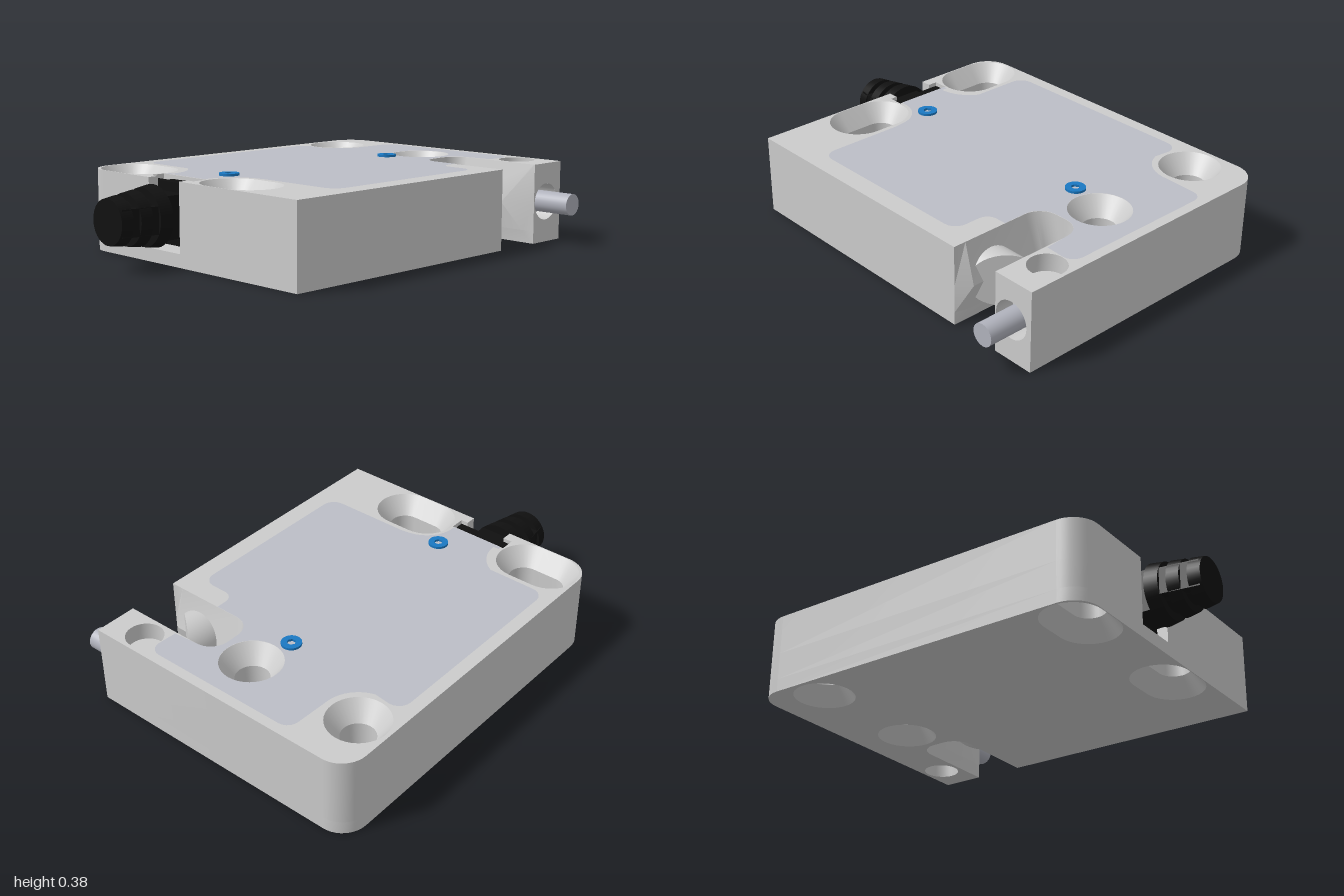
import * as THREE from 'three';
import { toCreasedNormals } from 'three/addons/utils/BufferGeometryUtils.js';

const H = 0.37, MID = H / 2, FLOOR = 0.06;
const PI = Math.PI;
const mat = (color) => new THREE.MeshStandardMaterial({ color, side: THREE.DoubleSide });
const grey = mat(0xcccccc), plateGrey = mat(0xbcbec6), steel = mat(0xb0b2bc);
const blue = mat(0x1a78c2), black = mat(0x101010);

function add(parent, name, geo, material, x = 0, y = 0, z = 0) {
  const m = new THREE.Mesh(geo, material);
  m.name = name;
  m.position.set(x, y, z);
  parent.add(m);
  return m;
}

// Points [x, z] along an arc, angles in degrees
function arc(cx, cz, r, a0, a1, n = 10) {
  return Array.from({ length: n + 1 }, (_, i) => {
    const a = (a0 + (a1 - a0) * i / n) * PI / 180;
    return [cx + r * Math.cos(a), cz + r * Math.sin(a)];
  });
}

// Round or elongated hole outline
const stadium = (cx, cz, half, r) => [
  ...arc(cx + half, cz, r, -90, 90, 18),
  ...arc(cx - half, cz, r, 90, 270, 18),
];

// Flat horizontal face from [x, z] points
const vecs = (pts) => pts.map(([x, z]) => new THREE.Vector2(x, -z));
function flat(pts, holes = []) {
  const s = new THREE.Shape(vecs(pts));
  s.holes = holes.map((h) => new THREE.Path(vecs(h)));
  return new THREE.ShapeGeometry(s).rotateX(-PI / 2);
}

// Wall through rings of equal point count at the given heights
function loft(rings, closed) {
  const n = rings[0].pts.length, pos = [], idx = [];
  rings.forEach(({ y, pts }) => pts.forEach(([x, z]) => pos.push(x, y, z)));
  for (let j = 0; j < rings.length - 1; j++) {
    for (let i = 0; i < (closed ? n : n - 1); i++) {
      const a = j * n + i, b = j * n + (i + 1) % n;
      idx.push(a, a + n, b, b, a + n, b + n);
    }
  }
  const g = new THREE.BufferGeometry();
  g.setAttribute('position', new THREE.Float32BufferAttribute(pos, 3));
  g.setIndex(idx);
  return toCreasedNormals(g, 0.4);
}

// Body outline at height y; the side slot narrows towards mid height
function outline(y, notch) {
  const t = 1 - Math.abs(y - MID) / MID;
  const a = -0.8 + 0.04 * t, b = -0.56 - 0.05 * t, r = 0.09 - 0.02 * t;
  const cableNotch = [
    [-0.105, 0.72], [-0.105, 0.67], [-0.07, 0.67], [-0.07, 0.6],
    [-0.355, 0.6], [-0.355, 0.67], [-0.31, 0.67], [-0.31, 0.72],
  ];
  return [
    [0.61, -0.8], [0.6 - 0.15 * t, a],
    ...arc(0.13 + r, a + r, r, 270, 180),
    ...arc(0.13 + r, b - r, r, 180, 90),
    [0.55, b], [0.61, -0.56], [0.61, 0.72],
    ...(notch ? cableNotch : []),
    ...arc(-0.64, 0.6, 0.12, 90, 180),
    ...arc(-0.64, -0.88, 0.12, 180, 270),
    [0.61, -1],
  ];
}

function buildBody(parent) {
  const body = new THREE.Group();
  body.name = 'housing';
  parent.add(body);
  // cx, cz, half length, outer radius, inner radius
  const mounts = [
    [-0.605, -0.74, 0, 0.137, 0.075], [-0.035, -0.74, 0, 0.137, 0.075],
    [-0.557, 0.58, 0.06, 0.136, 0.073], [0.133, 0.58, 0.061, 0.136, 0.073],
  ];
  const pocket = stadium(0.43, -0.9, 0, 0.083);
  const holes = [...mounts.map(([x, z, h, R]) => stadium(x, z, h, R)), pocket];
  add(body, 'topFace', flat(outline(H, true), holes), grey, 0, H);
  add(body, 'bottomFace', flat(outline(0, false), holes), grey);
  const ring = (y, notch) => ({ y, pts: outline(y, notch) });
  add(body, 'lowerWall', loft([ring(0), ring(FLOOR)], false), grey);
  add(body, 'upperWall', loft([ring(FLOOR, true), ring(MID, true), ring(H, true)], false), grey);
  add(body, 'notchFloor', flat([[-0.355, 0.6], [-0.07, 0.6], [-0.07, 0.72], [-0.355, 0.72]]), grey, 0, FLOOR - 0.001);

  // Mounting holes, countersunk on both sides
  mounts.forEach(([x, z, h, R, r]) => {
    const levels = [[0, R], [0.085, r], [H - 0.085, r], [H, R]];
    add(body, 'mountingHole', loft(levels.map(([y, k]) => ({ y, pts: stadium(x, z, h, k) })), true), grey);
  });

  // Blind pockets in the top and bottom of the arm
  for (const [y0, y1] of [[H, H - 0.08], [0, 0.08]]) {
    add(body, 'armPocket', loft([{ y: y0, pts: pocket }, { y: y1, pts: pocket }], true), grey);
    add(body, 'armPocketFloor', flat(pocket), grey, 0, y1);
  }

  // Arm end face with the bore for the pin
  const end = new THREE.Shape(vecs([[0.8, 0], [1, 0], [1, -H], [0.8, -H]]));
  end.holes.push(new THREE.Path().absarc(0.89, 0.19, 0.085, 0, 2 * PI, true));
  add(body, 'armEnd', new THREE.ShapeGeometry(end, 20).rotateY(PI / 2), grey, 0.61);
  add(body, 'bore', new THREE.CylinderGeometry(0.085, 0.085, 0.09, 36, 1, true).rotateZ(PI / 2), grey, 0.565, 0.19, -0.89);
  add(body, 'boreFloor', new THREE.CircleGeometry(0.085, 36).rotateY(PI / 2), grey, 0.52, 0.19, -0.89);

  // Round stub inside the slot, cut off diagonally
  const stub = new THREE.CylinderGeometry(0.12, 0.12, 0.2, 40).rotateX(PI / 2);
  const p = stub.attributes.position;
  for (let i = 0; i < p.count; i++) {
    p.setZ(i, p.getZ(i) < 0 ? -0.76 + (p.getX(i) + 0.12) * 0.8 : -0.555);
  }
  add(body, 'slotStub', toCreasedNormals(stub, 0.5), grey, 0.43, MID, 0);
}

function buildPlate(parent) {
  const pts = [
    ...arc(-0.38, -0.9, 0.055, 180, 270, 5), ...arc(0.29, -0.9, 0.055, 270, 360, 5),
    [0.34, -0.81], [0.22, -0.8],
    ...arc(0.22, -0.71, 0.09, 270, 180), ...arc(0.22, -0.65, 0.09, 180, 90),
    [0.335, -0.56], ...arc(0.385, -0.51, 0.05, 180, 90, 5),
    ...arc(0.46, -0.4, 0.06, 270, 360, 5), ...arc(0.46, 0.36, 0.06, 0, 90, 5),
    [0.1, 0.42], ...arc(0.075, 0.58, 0.155, 260, 180, 8),
    [-0.08, 0.6], [-0.345, 0.6],
    [-0.345, 0.58], ...arc(-0.497, 0.58, 0.18, 0, -62, 8),
    ...arc(-0.64, 0.36, 0.06, 90, 180, 5), ...arc(-0.64, -0.53, 0.06, 180, 270, 5),
    ...arc(-0.605, -0.74, 0.165, 75, 5, 8),
  ];
  add(parent, 'coverPlate', flat(pts, [stadium(-0.035, -0.74, 0, 0.137)]), plateGrey, 0, H + 0.0015);
}

function buildScrew(parent, x, z) {
  const s = new THREE.Shape().absarc(0, 0, 0.045, 0, 2 * PI);
  s.holes.push(new THREE.Path(vecs(arc(0, 0, 0.02, 0, 300, 5))));
  const g = new THREE.ExtrudeGeometry(s, { depth: 0.012, bevelEnabled: false, curveSegments: 24 });
  add(parent, 'coverScrew', g.rotateX(-PI / 2), blue, x, H, z);
}

function buildGland(parent) {
  const gland = new THREE.Group();
  gland.name = 'cableGland';
  gland.position.set(-0.23, 0.215, 0);
  parent.add(gland);
  const radius = (z) => 0.137 - (z - 0.76) * 0.155;
  const cone = (name, z0, z1, r0, r1) =>
    add(gland, name, new THREE.CylinderGeometry(r1, r0, z1 - z0, 36).rotateX(PI / 2), black, 0, 0, (z0 + z1) / 2);
  // Tapered ribs on a core
  for (const [z0, z1] of [[0.76, 0.82], [0.855, 0.91], [0.945, 1]]) {
    cone('rib', z0, z1, radius(z0), radius(z1));
  }
  cone('core', 0.76, 0.99, 0.1, 0.075);
  // Side webs joining the ribs
  const [w0, w1] = [radius(0.77) - 0.015, radius(0.99) - 0.015];
  const web = new THREE.Shape(vecs([[-w0, 0.77], [w0, 0.77], [w1, 0.99], [-w1, 0.99]]));
  const webGeo = new THREE.ExtrudeGeometry(web, { depth: 0.12, bevelEnabled: false });
  add(gland, 'sideWeb', webGeo.rotateX(-PI / 2), black, 0, -0.06, 0);
  // Neck, flange and inner end held in the housing notch
  const box = (name, x, w, h, z0, z1) =>
    add(gland, name, new THREE.BoxGeometry(w, h, z1 - z0), black, x, 0, (z0 + z1) / 2);
  box('neck', 0.012, 0.17, 0.19, 0.66, 0.77);
  box('flange', 0.018, 0.28, 0.275, 0.63, 0.668);
  box('innerEnd', 0, 0.12, 0.275, 0.602, 0.635);
}

export function createModel() {
  const model = new THREE.Group();
  model.name = 'switchHousing';
  buildBody(model);
  buildPlate(model);
  buildScrew(model, -0.085, -0.55);
  buildScrew(model, -0.105, 0.44);
  // Actuating pin
  const pin = new THREE.CylinderGeometry(0.05, 0.05, 0.25, 32).rotateZ(PI / 2);
  add(model, 'pin', pin, steel, 0.635, 0.19, -0.89);
  buildGland(model);
  return model;
}
